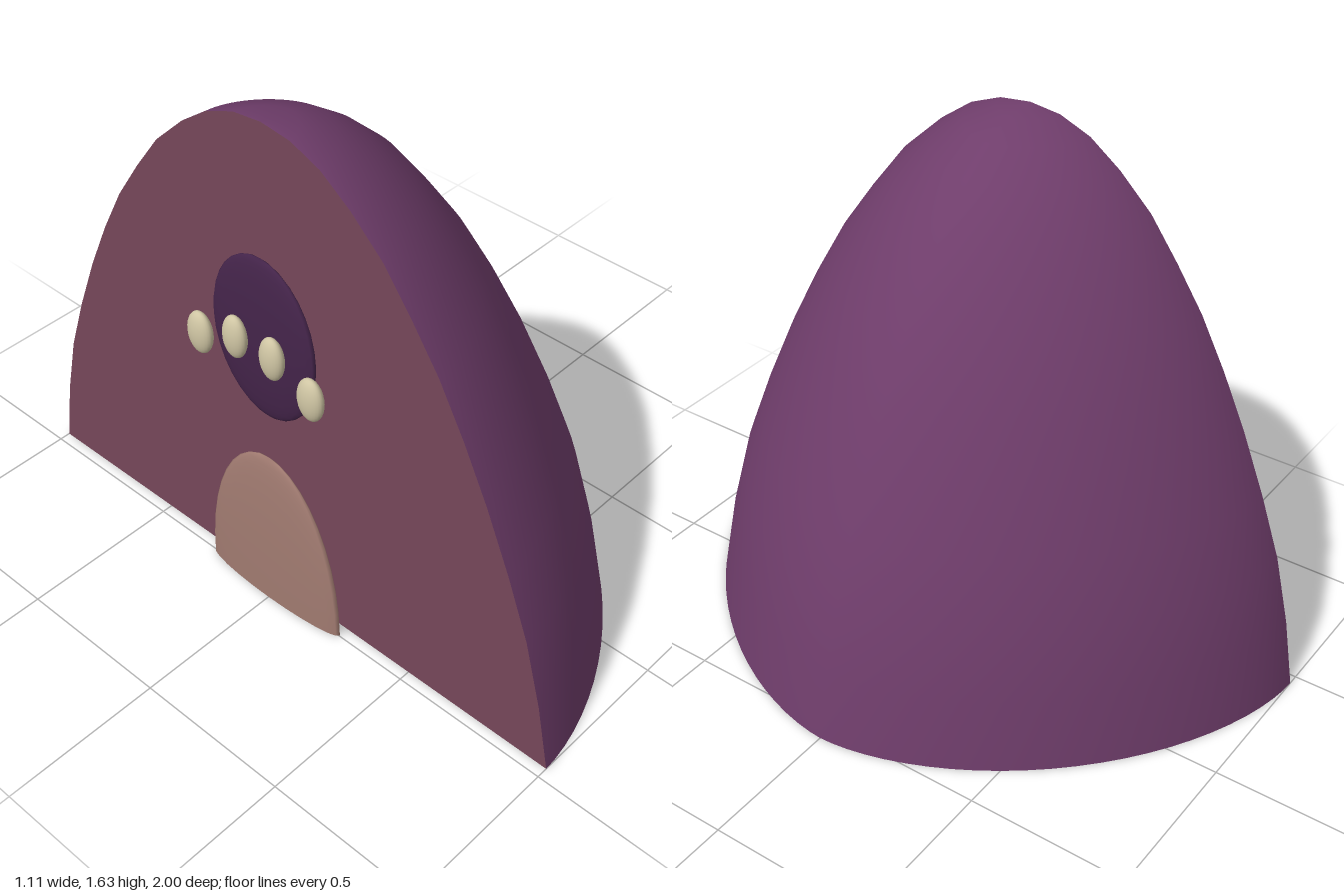
import * as THREE from 'three';

const mat = (name, color, side = THREE.FrontSide) => {
  const m = new THREE.MeshStandardMaterial({ color, side });
  m.name = name;
  return m;
};

const FACE_X = -0.465, DEPTH = 1.02;
// half-width and height of the arch, from ground to peak
const ARCH = [[1, 0], [0.96, 0.22], [0.906, 0.434], [0.836, 0.627], [0.756, 0.82], [0.675, 0.99],
  [0.59, 1.147], [0.5, 1.28], [0.407, 1.405], [0.3, 1.507], [0.2, 1.58], [0.1, 1.62], [0, 1.632]];

// ground outline: a softened half-ellipse, u runs from +z round to -z
function outline(u) {
  const t = Math.PI * u, p = 2 / 1.7, c = Math.cos(t);
  return [DEPTH * Math.pow(Math.max(0, Math.sin(t)), p), Math.sign(c) * Math.pow(Math.abs(c), p)];
}

export function createModel() {
  const group = new THREE.Group();
  const shell = mat('purple shell', 0x6f3d6b);
  const wall = mat('mauve wall', 0x764759);
  const doorMat = mat('dusty pink door', 0xa07a70);
  const windowMat = mat('dark purple window', 0x44244a);
  const spotMat = mat('ivory', 0xd0c6a4);

  const add = (name, geometry, material, x = 0, y = 0, z = 0) => {
    const mesh = new THREE.Mesh(geometry, material);
    mesh.name = name;
    mesh.position.set(x, y, z);
    group.add(mesh);
    return mesh;
  };

  // half dome: the ground outline shrinks upward along the arch
  const cols = 48, rows = ARCH.length - 1;
  const dome = new THREE.PlaneGeometry(1, 1, cols, rows);
  const pos = dome.attributes.position;
  for (let i = 0; i < pos.count; i++) {
    const [w, y] = ARCH[Math.round((pos.getY(i) + 0.5) * rows)];
    const [d, z] = outline(pos.getX(i) + 0.5);
    pos.setXYZ(i, d * w, y, z * w);
  }
  dome.computeVertexNormals();
  add('dome', dome, shell, FACE_X);

  // flat wall closing the dome
  const right = ARCH.map(([w, y]) => new THREE.Vector2(w, y));
  const left = ARCH.slice(0, -1).reverse().map(([w, y]) => new THREE.Vector2(-w, y));
  add('flatWall', new THREE.ShapeGeometry(new THREE.Shape([...right, ...left])), wall, FACE_X)
    .rotation.y = -Math.PI / 2;

  // floor
  const rim = [];
  for (let i = 0; i <= cols; i++) rim.push(new THREE.Vector2(...outline(i / cols)));
  add('floor', new THREE.ShapeGeometry(new THREE.Shape(rim)), wall, FACE_X).rotation.x = Math.PI / 2;

  // door: half of a flattened ellipsoid with its underside
  const door = new THREE.SphereGeometry(1, 24, 10, 0, Math.PI * 2, 0, Math.PI / 2);
  door.scale(0.033, 0.54, 0.262);
  add('door', door, doorMat, -0.498);
  const sill = new THREE.CircleGeometry(1, 24).rotateX(Math.PI / 2);
  sill.scale(0.033, 1, 0.262);
  add('doorUnderside', sill, doorMat, -0.498);

  // oval window and the row of spots across it
  const oval = (name, m, r, p) => add(name, new THREE.SphereGeometry(1, 24, 16).scale(...r), m, ...p);
  oval('window', windowMat, [0.028, 0.268, 0.193], [-0.493, 0.965, 0]);
  for (const s of [-1, 1]) {
    oval('outerSpot', spotMat, [0.026, 0.07, 0.045], [-0.533, 0.9, s * 0.21]);
    oval('innerSpot', spotMat, [0.026, 0.07, 0.042], [-0.533, 0.96, s * 0.07]);
  }
  return group;
}
